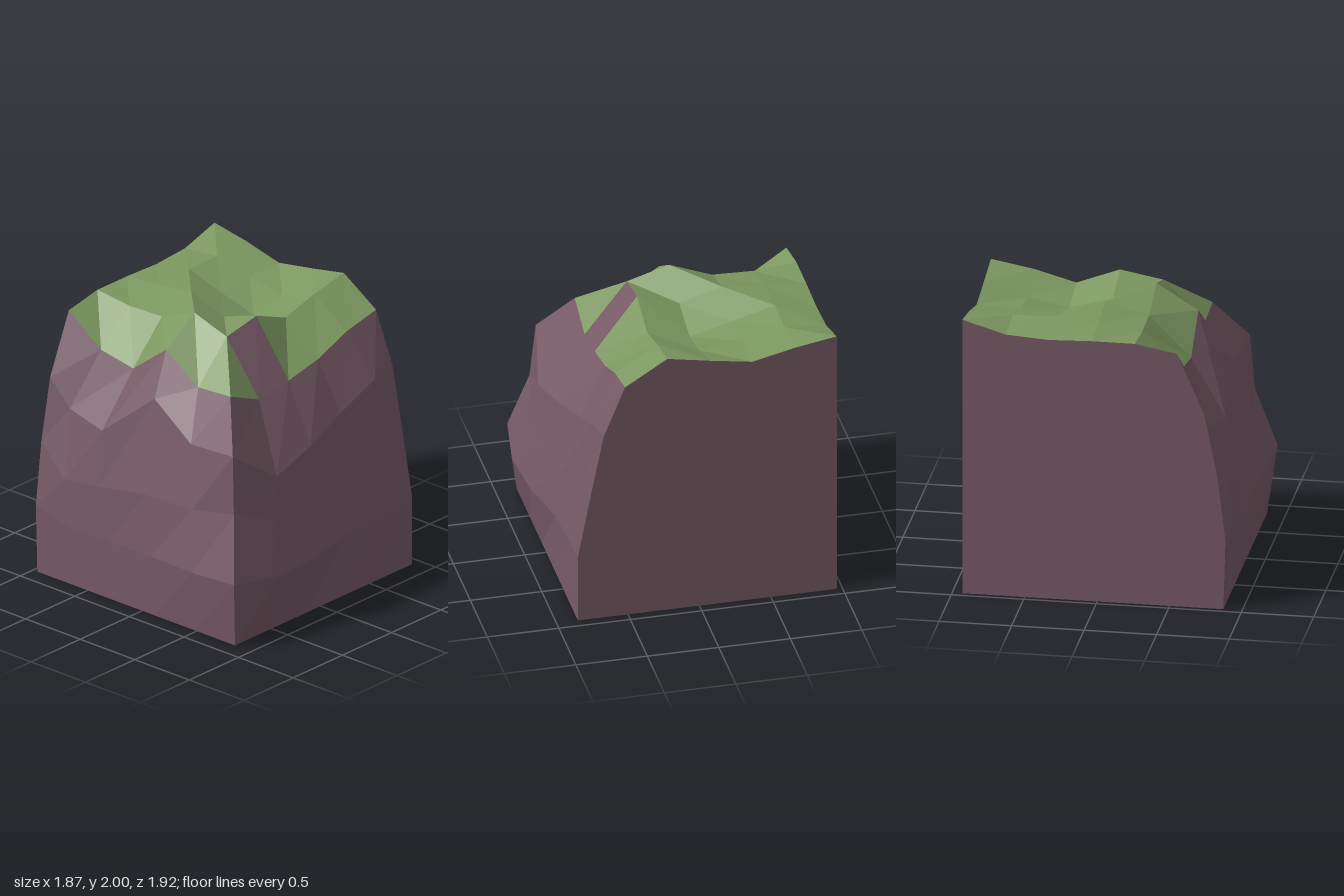
import * as THREE from 'three';

const RIGHT = 0.93, BACK = -0.96;
const XS = [-0.55, -0.26, 0.04, 0.34, 0.63, 0.93];
const ZS = [0.52, 0.225, -0.07, -0.37, -0.665, -0.96];

// Plateau heights, one row per ZS entry (front to back)
const HEIGHTS = [
  [1.65, 1.53, 1.57, 1.63, 1.74, 1.80],
  [1.63, 1.91, 1.965, 1.85, 1.93, 1.985],
  [1.82, 2.00, 1.87, 1.78, 1.84, 1.93],
  [1.59, 1.88, 1.96, 1.86, 1.87, 1.88],
  [1.64, 1.87, 1.93, 1.945, 1.94, 1.95],
  [1.845, 1.90, 1.90, 1.89, 1.91, 2.00],
];
const topRows = HEIGHTS.map((row, j) => row.map((y, i) => [XS[i], y, ZS[j]]));

// Front cliff, rows from the ground up, points from left corner to right wall
const frontRows = [
  [-0.87, -0.51, -0.13, 0.21, 0.57, RIGHT].map((x) => [x, 0, 0.85]),
  [[-0.935, 0.485, 0.90], [-0.55, 0.445, 0.96], [-0.11, 0.44, 0.93], [0.28, 0.455, 0.855], [0.62, 0.47, 0.845], [RIGHT, 0.5, 0.85]],
  [[-0.80, 0.93, 0.777], [-0.48, 0.81, 0.86], [-0.05, 0.82, 0.84], [0.30, 0.84, 0.80], [0.72, 0.94, 0.77], [RIGHT, 0.95, 0.765]],
  [[-0.77, 1.34, 0.74], [-0.40, 1.09, 0.81], [0, 1.17, 0.76], [0.37, 1.27, 0.70], [0.72, 1.41, 0.70], [RIGHT, 1.43, 0.67]],
  topRows[0],
];

// Side cliff, rows from the ground up, points from back wall to the shared corner
const sideRows = [
  [BACK, -0.62, -0.27, 0.1, 0.48, 0.85].map((z) => [-0.87, 0, z]),
  [[-0.885, 0.5, BACK], [-0.88, 0.42, -0.65], [-0.875, 0.43, -0.30], [-0.885, 0.44, 0.10], [-0.915, 0.45, 0.50], frontRows[1][0]],
  [[-0.83, 0.96, BACK], [-0.86, 0.76, -0.72], [-0.86, 0.80, -0.40], [-0.84, 0.86, 0], [-0.83, 0.87, 0.42], frontRows[2][0]],
  [[-0.74, 1.41, BACK], [-0.74, 1.23, -0.78], [-0.80, 1.19, -0.43], [-0.71, 1.52, -0.03], [-0.74, 1.30, 0.33], frontRows[3][0]],
  topRows.map((row) => row[0]).reverse(),
];

// Faceted sheet over a grid of points, keeping only the chosen cells
function sheet(rows, keep = () => true) {
  const index = [], n = rows[0].length;
  for (let j = 0; j < rows.length - 1; j++) {
    for (let i = 0; i < n - 1; i++) {
      if (!keep(i, j)) continue;
      const a = j * n + i, d = a + n;
      index.push(a, a + 1, d + 1, a, d + 1, d);
    }
  }
  const geo = new THREE.BufferGeometry();
  geo.setAttribute('position', new THREE.Float32BufferAttribute(rows.flat(2), 3));
  geo.setIndex(index);
  const flat = geo.toNonIndexed();
  flat.computeVertexNormals();
  return flat;
}

// Flat wall from a list of [across, height] points
function wall(points) {
  return new THREE.ShapeGeometry(new THREE.Shape(points.map(([u, v]) => new THREE.Vector2(u, v))));
}

export function createModel() {
  const group = new THREE.Group();
  const material = (name, color) => {
    const m = new THREE.MeshStandardMaterial({ color, flatShading: true, side: THREE.DoubleSide });
    m.name = name;
    return m;
  };
  const rock = material('rock', 0x785b67);
  const grass = material('grass', 0x7c9760);
  const add = (name, geo, mat) => {
    const mesh = new THREE.Mesh(geo, mat);
    mesh.name = name;
    group.add(mesh);
    return mesh;
  };

  // Grassy plateau with one bare rock patch on its front edge
  const isBare = (i, j) => i === 1 && j === 0;
  add('grassTop', sheet(topRows, (i, j) => !isBare(i, j)), grass);
  add('barePatch', sheet(topRows, isBare), rock);

  // Craggy cliffs
  add('frontCliff', sheet(frontRows), rock);
  add('sideCliff', sheet(sideRows), rock);

  // Flat cut walls; the underside stays open
  const rightEdge = [...frontRows.map((r) => r[5]), ...topRows.slice(1).map((r) => r[5])];
  const rightWall = add('rightWall', wall([...rightEdge.map((p) => [-p[2], p[1]]), [-BACK, 0]]), rock);
  rightWall.rotation.y = Math.PI / 2;
  rightWall.position.x = RIGHT;

  const backEdge = [...sideRows.map((r) => r[0]), ...topRows[5].slice(1)];
  const backWall = add('backWall', wall([...backEdge.map((p) => [-p[0], p[1]]), [-RIGHT, 0]]), rock);
  backWall.rotation.y = Math.PI;
  backWall.position.z = BACK;

  return group;
}
